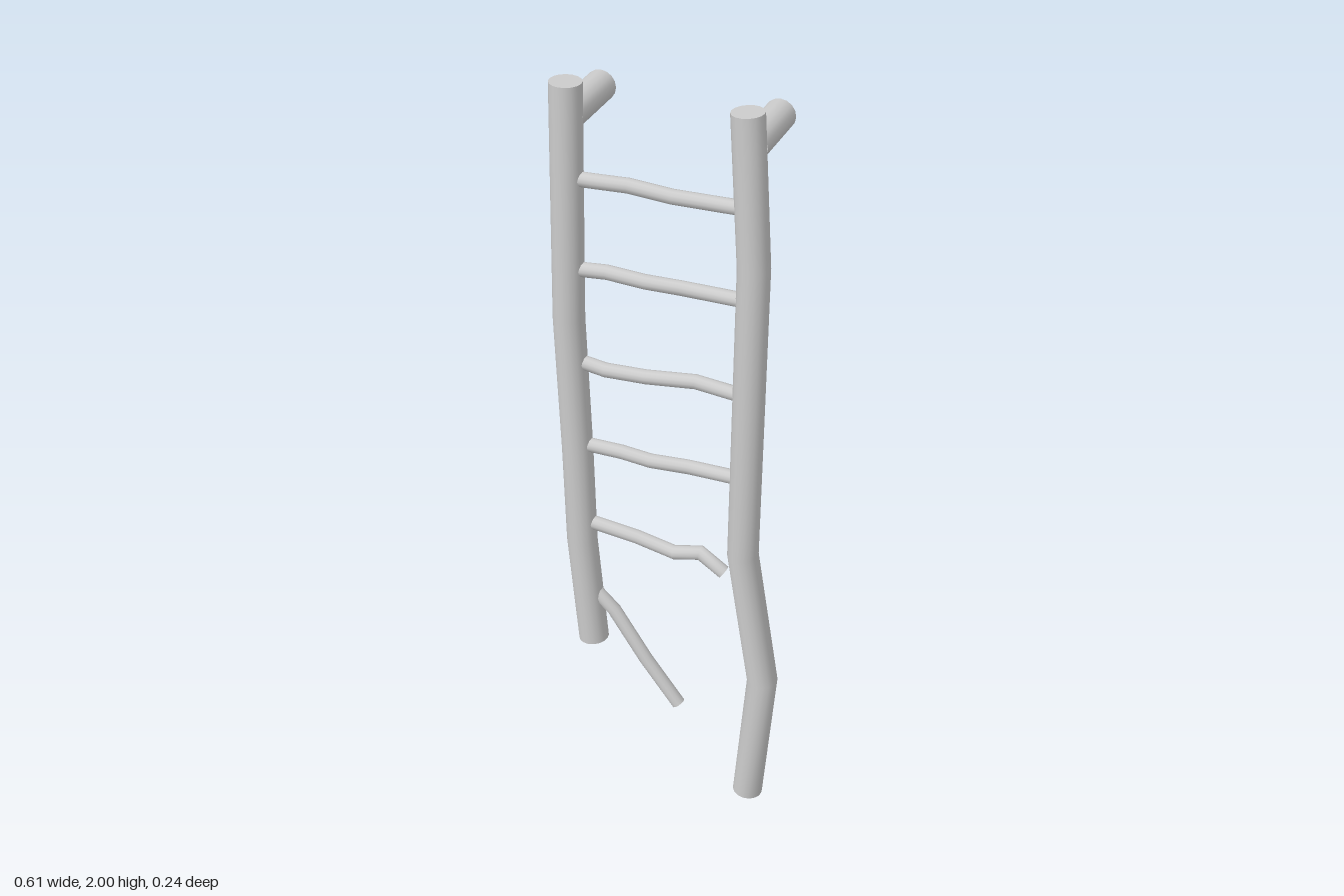
import * as THREE from 'three';

const DEPTH = 0.08; // z of the ladder plane
const material = new THREE.MeshStandardMaterial({ color: 0xcccccc });

// Round pole swept along a path of [x, y, dz] points, mitred at the bends, with flat ends
function pole(name, path, radius, sides) {
  const pts = path.map(([x, y, dz = 0]) => new THREE.Vector3(x, y, DEPTH + dz));
  const last = pts.length - 1;
  const pos = [], index = [];
  const dir = (i) => pts[i + 1].clone().sub(pts[i]).normalize();
  const rings = pts.map((p, i) => {
    const a = dir(Math.max(i - 1, 0)), b = dir(Math.min(i, last - 1));
    const tangent = a.clone().add(b).normalize();
    const side = new THREE.Vector3(-tangent.y, tangent.x, 0).normalize();
    const up = tangent.clone().cross(side);
    const mitre = 1 / tangent.dot(b);
    return Array.from({ length: sides }, (_, j) => {
      const t = (j / sides) * Math.PI * 2;
      return p.clone()
        .addScaledVector(side, Math.cos(t) * radius * mitre)
        .addScaledVector(up, Math.sin(t) * radius);
    });
  });
  // wall
  rings.forEach((ring) => ring.forEach((v) => pos.push(v.x, v.y, v.z)));
  for (let i = 0; i < last; i++) {
    for (let j = 0; j < sides; j++) {
      const k = (j + 1) % sides;
      const a = i * sides + j, b = i * sides + k;
      index.push(a, b, b + sides, a, b + sides, a + sides);
    }
  }
  // end caps with their own vertices, so the rims stay sharp
  for (const end of [0, last]) {
    const start = pos.length / 3;
    rings[end].forEach((v) => pos.push(v.x, v.y, v.z));
    for (let j = 1; j < sides - 1; j++) {
      if (end) index.push(start, start + j, start + j + 1);
      else index.push(start, start + j + 1, start + j);
    }
  }
  const geometry = new THREE.BufferGeometry();
  geometry.setAttribute('position', new THREE.Float32BufferAttribute(pos, 3));
  geometry.setIndex(index);
  geometry.computeVertexNormals();
  const mesh = new THREE.Mesh(geometry, material);
  mesh.name = name;
  return mesh;
}

export function createModel() {
  const ladder = new THREE.Group();
  ladder.name = 'brokenLadder';

  // Crooked side rails; the right one is broken off short
  ladder.add(
    pole('rightRail', [[-0.222, 0.402], [-0.248, 0.72], [-0.253, 1.0], [-0.265, 1.38], [-0.254, 2]], 0.04, 16),
    pole('leftRail', [[0.228, 0.004], [0.262, 0.4], [0.201, 0.79], [0.214, 1.61], [0.192, 1.998]], 0.04, 16),
  );

  // Whole rungs
  const rungs = [
    [[-0.25, 1.758], [-0.19, 1.76], [-0.1, 1.765, 0.001], [0.01, 1.755, -0.003], [0.1, 1.758], [0.2, 1.76]],
    [[-0.25, 1.517], [-0.16, 1.525], [-0.06, 1.521, 0.003], [0.03, 1.52, -0.002], [0.2, 1.521]],
    [[-0.25, 1.262], [-0.17, 1.25], [-0.06, 1.256, 0.002], [0.07, 1.27, -0.001], [0.2, 1.258]],
    [[-0.25, 1.018], [-0.13, 1.018], [-0.05, 1.012, 0.002], [0.05, 1.016, -0.002], [0.2, 1.018]],
  ];
  rungs.forEach((path, i) => ladder.add(pole(`rung${i + 1}`, path, 0.0185, 12)));

  // Broken rungs, loose at one end
  ladder.add(
    pole('snappedRung', [[-0.24, 0.781], [-0.19, 0.776], [-0.09, 0.765], [0.013, 0.744], [0.085, 0.762], [0.15, 0.718]], 0.0185, 12),
    pole('hangingRung', [[-0.225, 0.57], [-0.16, 0.508], [-0.071, 0.37], [0.024, 0.243]], 0.0185, 12),
  );

  // Pegs reaching back from the rail tops
  for (const [name, x] of [['rightPeg', -0.256], ['leftPeg', 0.198]]) {
    const peg = new THREE.Mesh(new THREE.CylinderGeometry(0.039, 0.039, 0.19, 16), material);
    peg.rotation.x = Math.PI / 2;
    peg.position.set(x, 1.911, -0.026);
    peg.name = name;
    ladder.add(peg);
  }
  return ladder;
}
